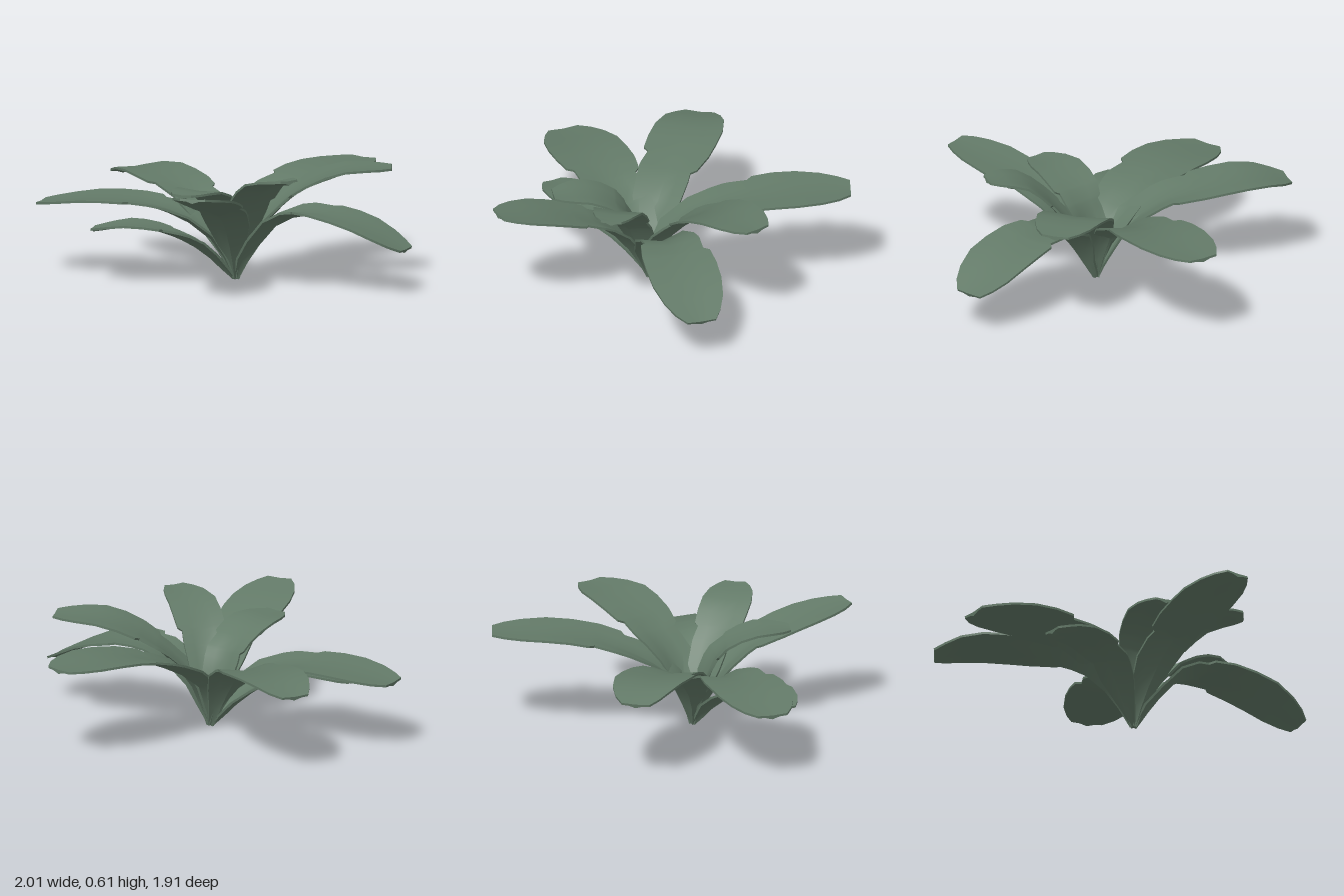
import * as THREE from 'three';
import { toCreasedNormals } from 'three/addons/utils/BufferGeometryUtils.js';

const BASE = [0.02, 0.01, 0.1];

// midrib points from the shared root outward, plus the full blade width
const LEAVES = [
  { name: 'backLeaf', width: 0.40, path: [[0.0, 0.24, 0.02], [0.03, 0.39, -0.2], [0.08, 0.49, -0.5], [0.11, 0.51, -0.95]] },
  { name: 'backLeftLeaf', width: 0.36, path: [[0.1, 0.24, 0.05], [0.24, 0.45, -0.09], [0.42, 0.57, -0.23], [0.67, 0.59, -0.4]] },
  { name: 'leftLeaf', width: 0.38, path: [[0.13, 0.18, 0.1], [0.27, 0.34, 0.06], [0.45, 0.39, 0.03], [0.7, 0.36, -0.01], [0.99, 0.23, -0.07]] },
  { name: 'frontLeftLeaf', width: 0.27, path: [[0.08, 0.2, 0.15], [0.2, 0.42, 0.23], [0.35, 0.57, 0.3], [0.54, 0.61, 0.36]] },
  { name: 'frontLeaf', width: 0.33, path: [[0.05, 0.17, 0.18], [0.11, 0.36, 0.34], [0.2, 0.49, 0.6], [0.32, 0.57, 0.93]] },
  { name: 'frontSmallLeaf', width: 0.28, path: [[0.01, 0.22, 0.15], [0.02, 0.42, 0.25], [0.02, 0.51, 0.4], [0.03, 0.52, 0.61]] },
  { name: 'frontRightLeaf', width: 0.40, path: [[-0.1, 0.23, 0.15], [-0.3, 0.36, 0.24], [-0.6, 0.41, 0.34], [-0.98, 0.37, 0.45]] },
  { name: 'lowFrontRightLeaf', width: 0.26, path: [[-0.1, 0.17, 0.22], [-0.22, 0.27, 0.36], [-0.38, 0.31, 0.47], [-0.58, 0.28, 0.55]] },
  { name: 'backRightLeaf', width: 0.37, path: [[-0.1, 0.2, 0.08], [-0.28, 0.37, 0.0], [-0.55, 0.46, -0.12], [-0.78, 0.48, -0.21], [-0.96, 0.44, -0.27]] }
];

// blade outline: [distance along the leaf, half width on one side, on the other];
// the close pairs make the torn notches
const OUTLINE = [
  [0, 0.08, 0.08], [0.1, 0.28, 0.28], [0.2, 0.5, 0.5], [0.32, 0.72, 0.7], [0.42, 0.8, 0.72],
  [0.47, 0.84, 0.68], [0.49, 0.84, 0.84], [0.57, 0.8, 0.95], [0.59, 0.96, 0.97], [0.68, 1, 1],
  [0.78, 0.97, 1], [0.88, 0.84, 0.86], [0.95, 0.64, 0.66], [1, 0.42, 0.4]
];
const THICKNESS = 0.012;

function leafGeometry({ path, width }) {
  const curve = new THREE.CatmullRomCurve3([BASE, ...path].map(p => new THREE.Vector3(...p)));
  const up = new THREE.Vector3(0, 1, 0);
  const positions = [], index = [];
  const across = [-1, -0.5, 0, 0.5, 1];
  const ringSize = across.length * 2;

  for (const [t, a, b] of OUTLINE) {
    const centre = curve.getPointAt(t);
    const tangent = curve.getTangentAt(t);
    const side = tangent.clone().cross(up).normalize();
    const normal = side.clone().cross(tangent).normalize();
    // deep channel near the root, a shallow fold toward the tip
    const fold = THREE.MathUtils.lerp(0.5, 0.06, Math.min(1, t * 1.6));
    const point = (u, drop) => {
      const offset = u * (u < 0 ? a : b) * width / 2;
      const p = centre.clone().addScaledVector(side, offset)
        .addScaledVector(normal, Math.abs(offset) * fold - drop);
      positions.push(p.x, Math.max(0, p.y), p.z);
    };
    across.forEach(u => point(u, 0));
    // underside, thicker along the midrib
    [...across].reverse().forEach(u => point(u, u === 0 ? THICKNESS * 1.8 : THICKNESS));
  }

  for (let i = 0; i < OUTLINE.length - 1; i++) {
    for (let j = 0; j < ringSize; j++) {
      const k = (j + 1) % ringSize;
      const p = i * ringSize + j, q = i * ringSize + k;
      index.push(p, q, q + ringSize, p, q + ringSize, p + ringSize);
    }
  }
  // close the blunt tip and the root
  const last = (OUTLINE.length - 1) * ringSize;
  for (let j = 0; j < across.length - 1; j++) {
    const m = ringSize - 1 - j;
    index.push(last + j, last + j + 1, last + m - 1, last + j, last + m - 1, last + m);
    index.push(j, m - 1, j + 1, j, m, m - 1);
  }

  const geometry = new THREE.BufferGeometry();
  geometry.setAttribute('position', new THREE.Float32BufferAttribute(positions, 3));
  geometry.setIndex(index);
  return toCreasedNormals(geometry, 0.6);
}

export function createModel() {
  const plant = new THREE.Group();
  plant.name = 'leafyPlant';
  const green = new THREE.MeshStandardMaterial({ color: 0x637a68, side: THREE.DoubleSide });
  for (const leaf of LEAVES) {
    const mesh = new THREE.Mesh(leafGeometry(leaf), green);
    mesh.name = leaf.name;
    plant.add(mesh);
  }
  return plant;
}
